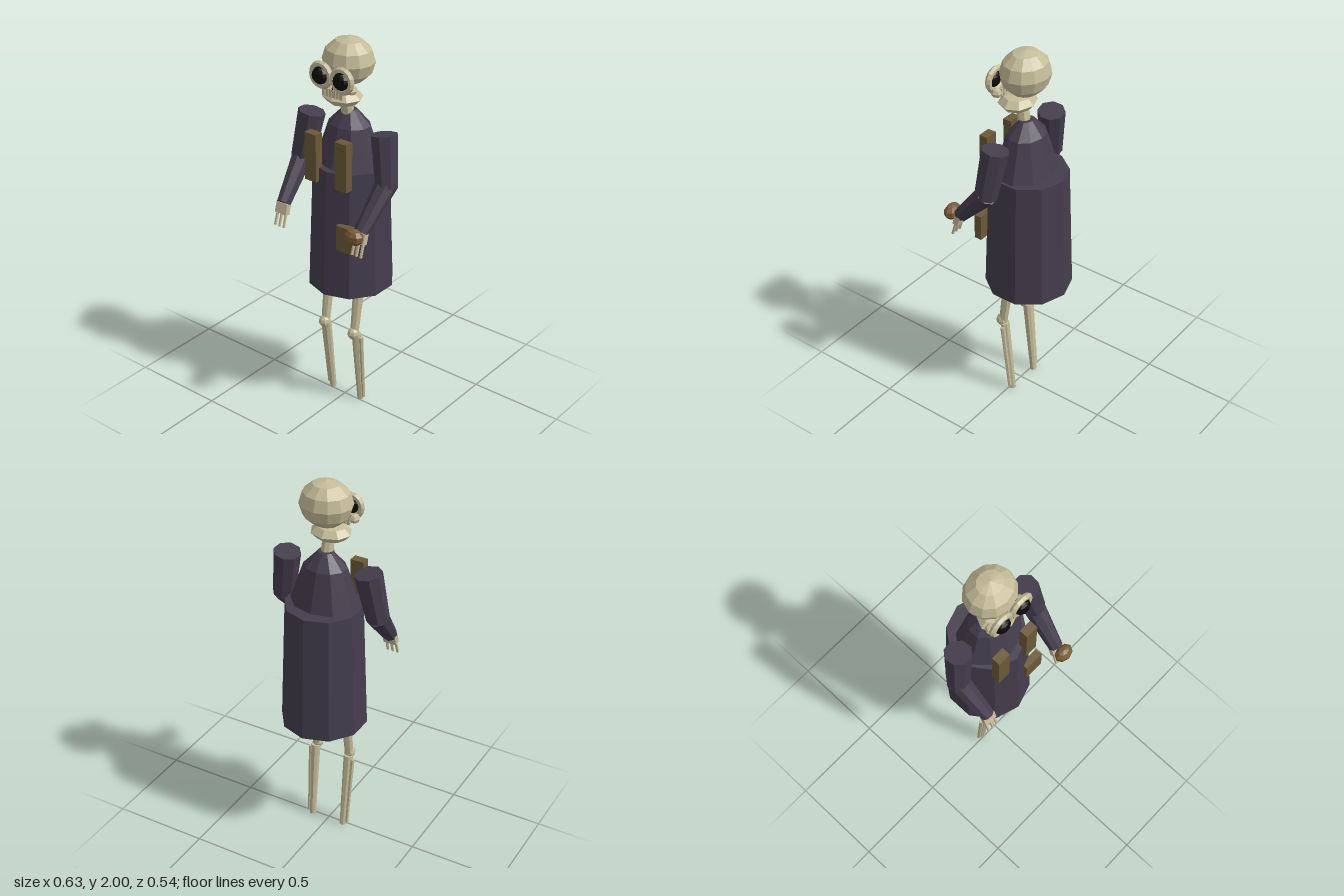
import * as THREE from 'three';

export function createModel() {
  const model = new THREE.Group();
  model.name = 'skeletonFigure';
  const mat = (name, color) => {
    const m = new THREE.MeshStandardMaterial({ color, flatShading: true });
    m.name = name;
    return m;
  };
  const bone = mat('bone', 0xc4bb98);
  const cloth = mat('darkCloth', 0x443d4d);
  const leather = mat('leather', 0x6c5a37);
  const wood = mat('brownWood', 0x7a5b36);
  const black = mat('black', 0x0b0b0c);

  const add = (name, geo, material, x = 0, y = 0, z = 0) => {
    const mesh = new THREE.Mesh(geo, material);
    mesh.name = name;
    mesh.position.set(x, y, z);
    model.add(mesh);
    return mesh;
  };
  const box = (name, w, h, d, material, x, y, z) =>
    add(name, new THREE.BoxGeometry(w, h, d), material, x, y, z);
  const ball = (name, rx, ry, rz, material, x, y, z, w = 8, h = 6) =>
    add(name, new THREE.SphereGeometry(1, w, h).scale(rx, ry, rz), material, x, y, z);
  // Tapered tube from point a to point b
  const limb = (name, a, b, ra, rb, material, sides = 8) => {
    const from = new THREE.Vector3(...a), to = new THREE.Vector3(...b);
    const dir = to.clone().sub(from);
    const mesh = add(name, new THREE.CylinderGeometry(rb, ra, dir.length(), sides), material);
    mesh.position.copy(from).add(to).multiplyScalar(0.5);
    mesh.quaternion.setFromUnitVectors(new THREE.Vector3(0, 1, 0), dir.normalize());
    return mesh;
  };

  // Robe: long skirt and a narrower, flattened chest
  add('skirt', new THREE.CylinderGeometry(0.195, 0.22, 0.67, 10), cloth, 0, 1.027, -0.05);
  const chestProfile = [[0, 1.35], [0.184, 1.35], [0.112, 1.56], [0.04, 1.635], [0, 1.635]]
    .map(([r, y]) => new THREE.Vector2(r, y));
  add('chest', new THREE.LatheGeometry(chestProfile, 10).scale(1, 1, 0.8), cloth, 0, 0, -0.035);

  // Head
  limb('neck', [0, 1.6, -0.025], [0, 1.72, 0], 0.032, 0.03, bone);
  ball('skull', 0.133, 0.116, 0.12, bone, 0, 1.884, -0.027, 12, 6);
  ball('jaw', 0.105, 0.043, 0.09, bone, 0, 1.717, 0.018, 8, 4);
  const nose = add('noseHole', new THREE.ConeGeometry(0.016, 0.035, 3), black, 0, 1.782, 0.09);
  nose.scale.z = 0.6;
  for (let i = 0; i < 6; i++) {
    box('tooth', 0.016, 0.04, 0.014, bone, (i - 2.5) * 0.021, 1.752, 0.092);
  }

  // Chest straps and hip pouch
  box('hipPouch', 0.107, 0.135, 0.04, leather, 0.121, 1.033, 0.135);

  for (const s of [1, -1]) {
    // Face
    add('eyeSocket', new THREE.TorusGeometry(0.054, 0.016, 6, 16), bone, s * 0.063, 1.832, 0.1);
    ball('eye', 0.043, 0.043, 0.03, black, s * 0.063, 1.832, 0.11, 10, 8);
    ball('cheekbone', 0.026, 0.024, 0.03, bone, s * 0.098, 1.785, 0.07, 6, 4);

    box('chestStrap', 0.07, 0.25, 0.046, leather, s * 0.093, 1.415, 0.128);

    // Sleeves with a bent elbow
    limb('upperSleeve', [s * 0.222, 1.567, -0.018], [s * 0.262, 1.315, 0.012], 0.069, 0.058, cloth);
    limb('lowerSleeve', [s * 0.262, 1.335, 0.003], [s * 0.243, 1.132, 0.182], 0.056, 0.037, cloth);

    // Hand with three thin fingers
    const palm = box('palm', 0.07, 0.055, 0.03, bone, s * 0.243, 1.107, 0.188);
    palm.rotation.x = -0.3;
    for (const f of [-1, 0, 1]) {
      limb('finger', [s * 0.243 + f * 0.025, 1.09, 0.194], [s * 0.243 + f * 0.027, 1.017, 0.217],
        0.008, 0.007, bone, 5);
    }

    // Leg: thigh, knee, and two shin bones
    limb('thigh', [s * 0.095, 0.78, -0.005], [s * 0.095, 0.44, 0.042], 0.031, 0.022, bone);
    ball('knee', 0.03, 0.034, 0.032, bone, s * 0.095, 0.44, 0.05);
    limb('shin', [s * 0.098, 0.43, 0.03], [s * 0.092, 0.004, -0.015], 0.025, 0.017, bone);
    limb('outerShin', [s * 0.125, 0.415, 0.025], [s * 0.115, 0.025, -0.013], 0.012, 0.009, bone, 6);
  }

  // Round object held in the left hand
  ball('heldOrb', 0.053, 0.041, 0.038, wood, 0.243, 1.13, 0.235, 8, 5);

  return model;
}
